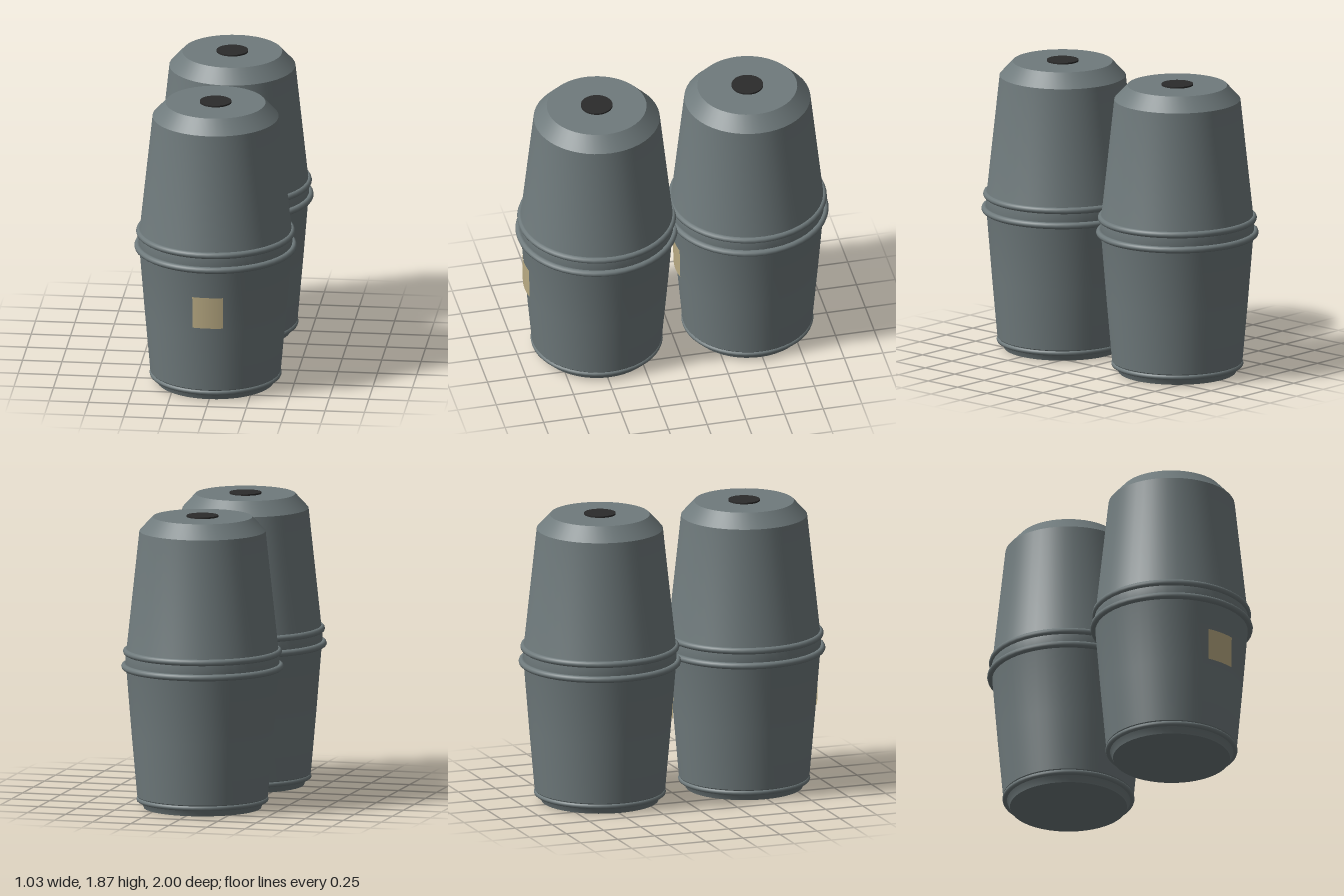
import * as THREE from 'three';
import { toCreasedNormals } from 'three/addons/utils/BufferGeometryUtils.js';

const SEGMENTS = 48;

export function createModel() {
  const grey = new THREE.MeshStandardMaterial({ name: 'barrel grey', color: 0x6f7a7c });
  const dark = new THREE.MeshStandardMaterial({ name: 'bung black', color: 0x2b2b2b });
  const tan = new THREE.MeshStandardMaterial({ name: 'label tan', color: 0xbcad85, side: THREE.DoubleSide });

  const add = (parent, name, geometry, material, y = 0) => {
    const mesh = new THREE.Mesh(geometry, material);
    mesh.name = name;
    mesh.position.y = y;
    parent.add(mesh);
  };

  // Body outline from the base centre up to the lid centre: [radius, height]
  const profile = [
    [0, 0], [0.37, 0], [0.385, 0.04], [0.412, 0.075], [0.446, 0.46], [0.481, 0.89],
    [0.484, 0.905], [0.484, 0.995], [0.478, 1.02], [0.398, 1.765], [0.315, 1.855], [0, 1.855],
  ].map(([r, y]) => new THREE.Vector2(r, y));
  const bodyGeometry = toCreasedNormals(new THREE.LatheGeometry(profile, SEGMENTS), 0.4);

  // Hoops: [name, outer radius, tube radius, height]
  const hoops = [
    ['baseHoop', 0.417, 0.017, 0.055],
    ['lowerMiddleHoop', 0.513, 0.021, 0.902],
    ['upperMiddleHoop', 0.502, 0.021, 0.997],
  ];

  // One barrel, with its label facing the front
  const makeBarrel = (name, z) => {
    const barrel = new THREE.Group();
    barrel.name = name;
    barrel.position.z = z;
    add(barrel, 'barrelBody', bodyGeometry, grey);
    for (const [hoopName, outer, tube, y] of hoops) {
      const hoop = new THREE.TorusGeometry(outer - tube, tube, 10, SEGMENTS).rotateX(Math.PI / 2);
      add(barrel, hoopName, hoop, grey, y);
    }
    add(barrel, 'bung', new THREE.CylinderGeometry(0.1, 0.1, 0.012, 32), dark, 1.859);
    const label = new THREE.CylinderGeometry(0.47, 0.466, 0.205, 8, 1, true, -0.21, 0.42);
    add(barrel, 'label', label, tan, 0.607);
    return barrel;
  };

  const model = new THREE.Group();
  model.name = 'barrelPair';
  model.add(makeBarrel('frontBarrel', 0.487), makeBarrel('backBarrel', -0.487));
  return model;
}
